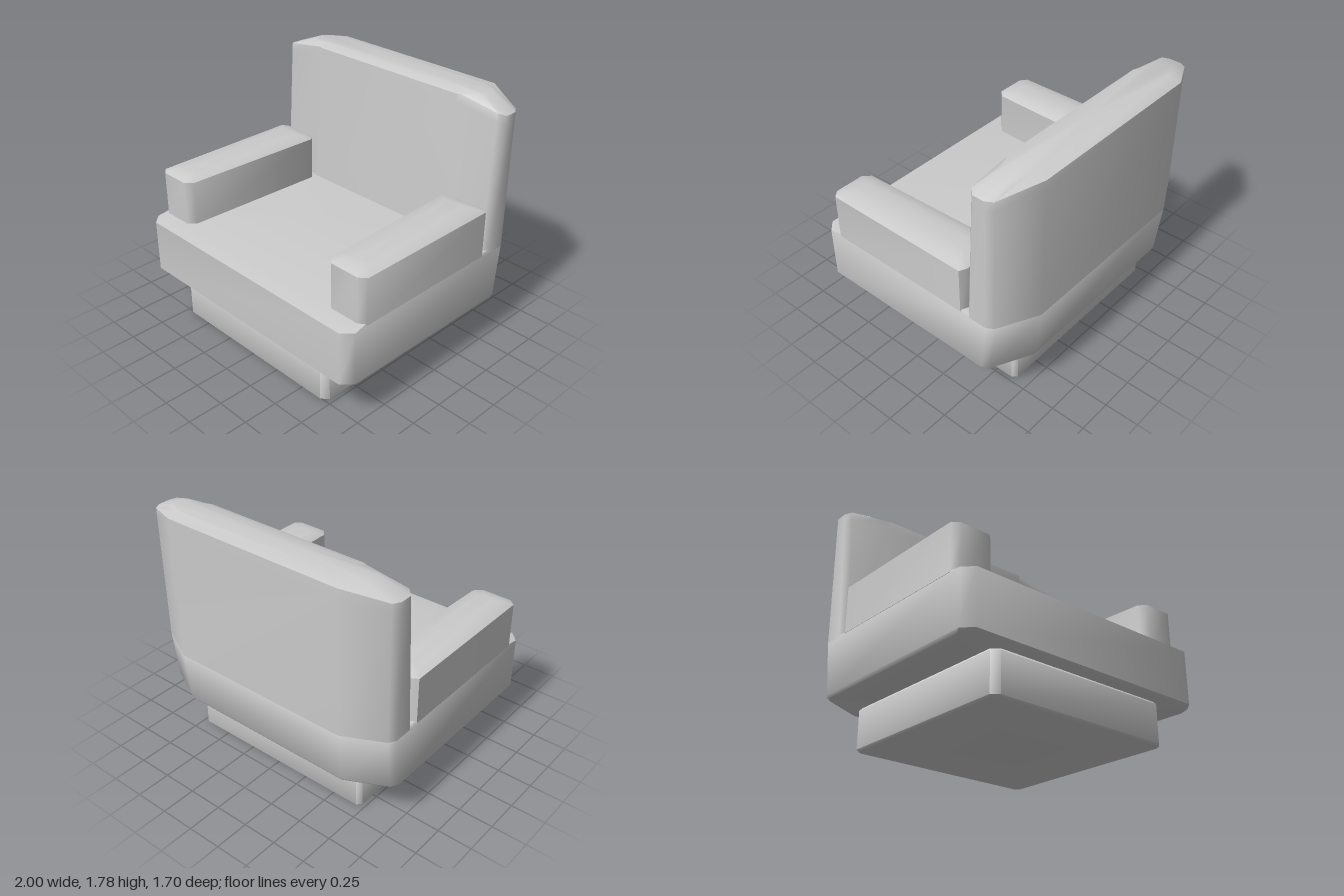
import * as THREE from 'three';
import { toCreasedNormals } from 'three/addons/utils/BufferGeometryUtils.js';

const material = new THREE.MeshStandardMaterial({ color: 0xcccccc });

// Complete a +x half outline (front to back) with its mirror image.
const mirrored = (half) => [...half, ...half.map(([x, y, z]) => [-x, y, z]).reverse()];

// Skin a stack of equal-length rings, counterclockwise from above, and cap both ends.
function loft(name, rings) {
  const n = rings[0].length;
  const positions = rings.flat(2);
  const index = [];
  for (let r = 0; r < rings.length - 1; r++) {
    for (let i = 0; i < n; i++) {
      const a = r * n + i, b = r * n + (i + 1) % n;
      index.push(a, b, b + n, a, b + n, a + n);
    }
  }
  [0, rings.length - 1].forEach((r) => {
    const centre = positions.length / 3;
    for (let k = 0; k < 3; k++) positions.push(rings[r].reduce((s, p) => s + p[k], 0) / n);
    for (let i = 0; i < n; i++) {
      const a = r * n + i, b = r * n + (i + 1) % n;
      if (r === 0) index.push(centre, b, a);
      else index.push(centre, a, b);
    }
  });
  const geometry = new THREE.BufferGeometry();
  geometry.setAttribute('position', new THREE.Float32BufferAttribute(positions, 3));
  geometry.setIndex(index);
  const mesh = new THREE.Mesh(toCreasedNormals(geometry, 0.95), material);
  mesh.name = name;
  return mesh;
}

// Plinth outline with clipped corners.
const plinthRing = (y, inset) => mirrored([
  [0.68 - inset, y, 0.77 - inset], [0.73 - inset, y, 0.73 - inset],
  [0.73 - inset, y, -0.63 + inset], [0.7 - inset, y, -0.66 + inset],
]);

// Seat outline: clipped front corners, broad rear corners matching the backrest.
const seatRing = (y, w, front, back) => mirrored([
  [w - 0.07, y, front], [w, y, front - 0.07], [w, y, back + 0.19],
  [w - 0.03, y, back + 0.14], [w - 0.31, y, back],
]);

// Backrest outline: the wings lie slightly behind the central panel.
const backRing = (y, front, back, edgeY = y) => mirrored([
  [0.63, y, front], [0.66, y, front - 0.012], [0.96, edgeY + (y - edgeY) * 0.25, front - 0.012],
  [1, edgeY, front - 0.05], [1, edgeY, back + 0.19],
  [0.97, edgeY, back + 0.14], [0.69, y, back],
]);
const backCrown = mirrored([
  [0.62, 1.78, -0.58], [0.66, 1.78, -0.585], [0.78, 1.78, -0.59],
  [0.8, 1.78, -0.61], [0.8, 1.78, -0.69], [0.78, 1.78, -0.72], [0.67, 1.78, -0.76],
]);

// Armrest outline: straight outside, tapering inside.
const armPlan = [
  [0.73, 0.72], [0.95, 0.72], [1, 0.68], [1, -0.44],
  [0.95, -0.465], [0.67, -0.45], [0.64, -0.42], [0.68, 0.67],
];
const armRing = (y, sx = 1, sz = 1) =>
  armPlan.map(([x, z]) => [0.82 + (x - 0.82) * sx, y, 0.13 + (z - 0.13) * sz]);
const mirrorRing = (ring) => ring.map(([x, y, z]) => [-x, y, z]).reverse();

export function createModel() {
  const chair = new THREE.Group();
  chair.name = 'armchair';

  chair.add(loft('plinth', [
    plinthRing(0, 0.015), plinthRing(0.015, 0), plinthRing(0.285, 0), plinthRing(0.305, 0.015),
  ]));

  chair.add(loft('seat', [
    seatRing(0.303, 0.985, 0.81, -0.78),
    seatRing(0.325, 1, 0.85, -0.795),
    seatRing(0.71, 1, 0.85, -0.84),
    seatRing(0.73, 0.99, 0.74, -0.83),
  ]));

  chair.add(loft('backrest', [
    backRing(0.71, -0.465, -0.84),
    backRing(1.7, -0.518, -0.85, 1.64),
    backRing(1.76, -0.522, -0.85, 1.7),
    backCrown,
  ]));

  const armRings = [armRing(0.715), armRing(1.055), armRing(1.08, 0.7, 0.91), armRing(1.09, 0.35, 0.82)];
  chair.add(loft('leftArmrest', armRings));
  chair.add(loft('rightArmrest', armRings.map(mirrorRing)));

  return chair;
}
